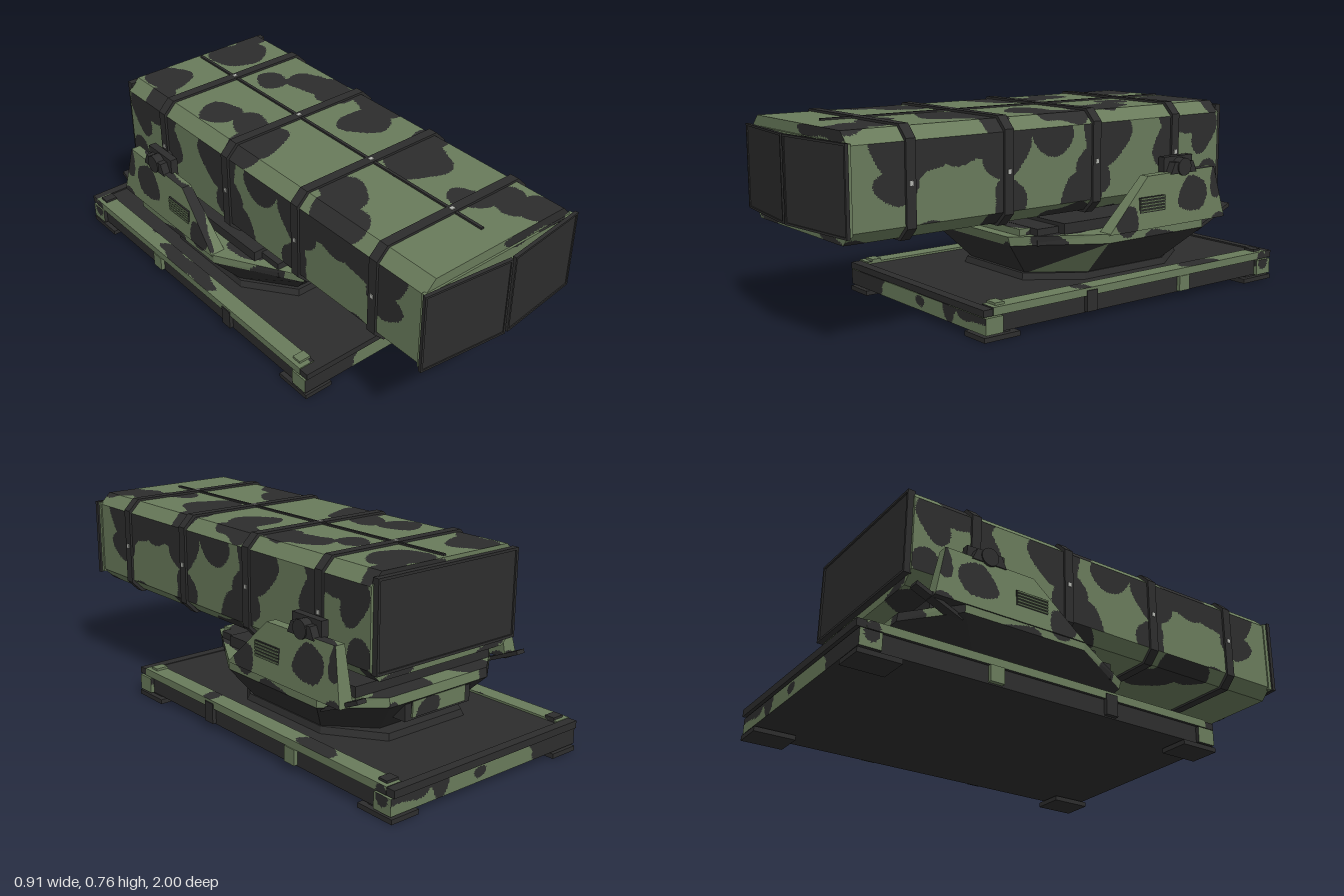
import * as THREE from 'three';

const green = new THREE.MeshStandardMaterial({ color: 0x697b5b });
green.name = 'camouflage green';
const black = new THREE.MeshStandardMaterial({ color: 0x2d2d2d });
black.name = 'camouflage black';
const pale = new THREE.MeshStandardMaterial({ color: 0xb4b6b0 });
pale.name = 'latch grey';

// Dark camouflage blobs as ellipses [u, v, ru, rv], one list per projection
const planBlobs = [ // x, z
  [-.21, -.68, .09, .1], [-.31, -.6, .08, .06], [.13, -.67, .12, .1], [.27, -.74, .09, .05],
  [.1, -.4, .06, .07], [.2, -.29, .07, .1], [.23, -.17, .08, .1], [.17, .08, .1, .09], [.28, .02, .06, .13],
  [-.21, -.32, .08, .08], [-.17, -.18, .07, .08], [-.24, -.06, .13, .1], [-.21, .4, .09, .11],
  [-.31, .48, .08, .13], [.13, .41, .13, .12], [.27, .34, .1, .07], [.1, .7, .06, .08],
  [.19, .79, .07, .09], [.24, .9, .08, .08], [-.42, -.3, .04, .2], [.42, .02, .05, .03], [.42, -.6, .05, .1],
];
const sideBlobs = [ // z, y
  [.7, .68, .17, .1], [.75, .56, .09, .06], [.5, .7, .16, .09], [.32, .66, .11, .12], [.3, .45, .07, .1],
  [.62, .38, .1, .04], [.11, .69, .1, .09], [-.16, .67, .12, .12], [-.03, .44, .1, .09], [-.1, .53, .08, .09],
  [-.55, .7, .12, .07], [-.47, .6, .06, .09], [-.68, .66, .07, .11], [-.7, .45, .06, .07],
  [-.36, .23, .1, .06], [-.55, .4, .08, .07], [-.2, .34, .06, .06], [.1, .27, .06, .05], [-.68, .24, .06, .08],
  [-.94, .08, .03, .04],
];
const faceBlobs = [ // x, y
  [.17, .74, .17, .03], [-.24, .385, .07, .02], [.22, .38, .08, .02], [-.25, .2, .07, .16], [.06, .22, .055, .05],
  [.24, .15, .05, .13], [-.35, .05, .14, .06], [.4, .09, .11, .04], [.055, .07, .03, .02], [-.4, .27, .04, .06],
];

function isDark(p, n) {
  if (n.y < -0.6 && p.y < 0.3) return true;
  const [list, u, v] = Math.abs(n.y) > 0.6 ? [planBlobs, p.x, p.z]
    : Math.abs(n.x) > Math.abs(n.z) ? [sideBlobs, p.z, p.y] : [faceBlobs, p.x, p.y];
  const a = u + 0.012 * Math.sin(v * 31), b = v + 0.01 * Math.sin(u * 27);
  return list.some(([cu, cv, ru, rv]) => ((a - cu) / ru) ** 2 + ((b - cv) / rv) ** 2 < 1);
}

// Splits triangles along blob edges and sorts them into two colour groups
function camo(geometry, name) {
  const src = geometry.index ? geometry.toNonIndexed() : geometry;
  const pos = src.attributes.position, out = [[], []];
  const split = (a, b, c, n) => {
    const d = [a.distanceTo(b), b.distanceTo(c), c.distanceTo(a)];
    const longest = Math.max(...d);
    const mid = a.clone().add(b).add(c).divideScalar(3);
    const dark = isDark(mid, n);
    const mixed = [a, b, c].some((p) => isDark(p, n) !== dark);
    if (longest > 0.07 || (mixed && longest > 0.013)) {
      while (d[0] < longest) { [a, b, c] = [b, c, a]; d.push(d.shift()); }
      const m = a.clone().lerp(b, 0.5);
      split(a, m, c, n);
      split(m, b, c, n);
    } else out[dark ? 1 : 0].push(...a.toArray(), ...b.toArray(), ...c.toArray());
  };
  for (let i = 0; i < pos.count; i += 3) {
    const t = [0, 1, 2].map((k) => new THREE.Vector3().fromBufferAttribute(pos, i + k));
    const n = t[1].clone().sub(t[0]).cross(t[2].clone().sub(t[0])).normalize();
    if (n.lengthSq() > 0.5) split(...t, n);
  }
  const geo = new THREE.BufferGeometry();
  geo.setAttribute('position', new THREE.Float32BufferAttribute(out[0].concat(out[1]), 3));
  geo.addGroup(0, out[0].length / 3, 0);
  geo.addGroup(out[0].length / 3, out[1].length / 3, 1);
  geo.computeVertexNormals();
  const mesh = new THREE.Mesh(geo, [green, black]);
  mesh.name = name;
  return mesh;
}

function solid(geometry, material, name) {
  const mesh = new THREE.Mesh(geometry, material);
  mesh.name = name;
  return mesh;
}

// Box given by its limits on each axis
const box = (x0, x1, y0, y1, z0, z1) =>
  new THREE.BoxGeometry(Math.abs(x1 - x0), y1 - y0, z1 - z0).translate((x0 + x1) / 2, (y0 + y1) / 2, (z0 + z1) / 2);

// Chamfered canister section, grown by g, running from z0 to z1
function canisterSlice(g, z0, z1) {
  const w = 0.345 + g, t = 0.75 + g, b = 0.375 - g, c = 0.045;
  const shape = new THREE.Shape([[-w + c, b], [w - c, b], [w, b + c], [w, t - c], [w - c, t], [-w + c, t], [-w, t - c], [-w, b + c]]
    .map(([x, y]) => new THREE.Vector2(x, y)));
  return new THREE.ExtrudeGeometry(shape, { depth: z1 - z0, bevelEnabled: false }).translate(0, 0, z0);
}

// Profile of [z, y] points extruded between two x positions
function sideExtrude(points, xa, xb) {
  const shape = new THREE.Shape(points.map(([z, y]) => new THREE.Vector2(-z, y)));
  return new THREE.ExtrudeGeometry(shape, { depth: Math.abs(xb - xa), bevelEnabled: false })
    .rotateY(Math.PI / 2).translate(Math.min(xa, xb), 0, 0);
}

// Eight-sided plan rings stacked upwards, with caps
function octagonLoft(levels) {
  const v = [], idx = [], top = (levels.length - 1) * 8;
  for (const { y, w, f, zf, zc, zd, zb } of levels) {
    for (const [x, z] of [[-f, zf], [f, zf], [w, zc], [w, zd], [f, zb], [-f, zb], [-w, zd], [-w, zc]]) v.push(x, y, z);
  }
  for (let j = 0; j < top; j += 8) for (let i = 0; i < 8; i++) {
    const k = (i + 1) % 8;
    idx.push(j + i, j + k, j + 8 + k, j + i, j + 8 + k, j + 8 + i);
  }
  for (let i = 1; i < 7; i++) idx.push(top, top + i, top + i + 1, 0, i + 1, i);
  const geo = new THREE.BufferGeometry();
  geo.setAttribute('position', new THREE.Float32BufferAttribute(v, 3));
  geo.setIndex(idx);
  return geo;
}

export function createModel() {
  const model = new THREE.Group();
  model.name = 'launcher';

  // Base platform
  const base = new THREE.Group();
  base.name = 'base';
  base.add(solid(box(-.44, .44, .025, .09, -.92, .42), black, 'chassis'));
  base.add(camo(box(-.455, .455, .025, .086, .41, .485), 'frontBeam'));
  base.add(camo(box(-.455, .455, .025, .086, -.99, -.91), 'rearBeam'));
  base.add(solid(box(-.4, .4, .08, .112, -.97, .46), black, 'deck'));
  base.add(solid(box(-.45, .45, .09, .115, .45, .49), black, 'frontSill'));
  base.add(solid(box(-.45, .45, .09, .118, -1, -.965), black, 'rearSill'));
  for (const s of [-1, 1]) {
    base.add(camo(box(s * .385, s * .452, .09, .12, -.965, .45), 'sideRail'));
    base.add(solid(box(s * .43, s * .456, .03, .09, -.51, -.455), green, 'sideBlock'));
    base.add(solid(box(s * .43, s * .456, .03, .11, -.025, .025), black, 'sideBlock'));
    for (const [z0, z1] of [[.335, .49], [-.995, -.835]]) base.add(solid(box(s * .335, s * .455, 0, .018, z0, z1), black, 'foot'));
    for (const [z0, z1] of [[.335, .49], [-.995, -.835]]) base.add(solid(box(s * .36, s * .435, .015, .03, z0 + .03, z1 - .03), black, 'footMount'));
    for (const z of [.41, -.93]) base.add(solid(box(s * .385, s * .435, .115, .129, z - .02, z + .02), z > 0 ? green : black, 'tieDown'));
  }
  model.add(base);

  // Turntable and turret
  const turret = new THREE.Group();
  turret.name = 'turret';
  turret.add(solid(octagonLoft([
    { y: .105, w: .33, f: .19, zf: .12, zc: -.07, zd: -.5, zb: -.7 },
    { y: .136, w: .32, f: .18, zf: .11, zc: -.08, zd: -.49, zb: -.69 }]).toNonIndexed(), black, 'turntable'));
  turret.children[0].geometry.computeVertexNormals();
  turret.add(camo(octagonLoft([
    { y: .13, w: .31, f: .17, zf: .09, zc: -.1, zd: -.48, zb: -.63 },
    { y: .265, w: .43, f: .24, zf: .215, zc: -.1, zd: -.6, zb: -.755 },
    { y: .3, w: .43, f: .24, zf: .225, zc: -.1, zd: -.6, zb: -.75 }]), 'turretBody'));
  turret.add(solid(box(-.33, .33, .29, .34, -.68, .03), black, 'topPlate'));
  turret.add(solid(box(-.295, .295, .262, .326, .03, .13), black, 'frontHousing'));
  turret.add(camo(box(-.25, .25, .29, .325, .12, .18), 'frontBar'));
  turret.add(solid(box(-.035, .035, .32, .372, .08, .16), black, 'canisterRest'));
  turret.add(solid(box(-.16, .16, .19, .27, -.745, -.65), black, 'rearFrame'));
  turret.add(camo(box(-.13, .13, .2, .26, -.752, -.74), 'rearPanel'));

  // Side cheeks, grilles, trunnions and rear levers
  for (const s of [-1, 1]) {
    const cheek = sideExtrude([[-.1, .295], [-.31, .495], [-.675, .5], [-.72, .295]], s * .375, s * .435);
    const p = cheek.attributes.position;
    for (let i = 0; i < p.count; i++) if (Math.abs(p.getX(i)) > .4) p.setX(i, s * (.435 - (p.getY(i) - .295) * .1));
    turret.add(camo(cheek, 'cheek'));
    turret.add(solid(box(s * .42, s * .429, .358, .418, -.392, -.258), black, 'grillePlate'));
    for (let i = 0; i < 5; i++) turret.add(solid(box(s * .42, s * .433, .361 + i * .012, .367 + i * .012, -.39, -.26), green, 'grilleSlat'));
    turret.add(solid(sideExtrude([[-.42, .48], [-.42, .555], [-.575, .555], [-.575, .48]], s * .36, s * .39), black, 'trunnionBlock'));
    turret.add(solid(sideExtrude([[-.43, .49], [-.45, .535], [-.55, .535], [-.57, .49]], s * .38, s * .42), black, 'trunnionCap'));
    const pin = solid(new THREE.CylinderGeometry(.035, .035, .08, 20).rotateZ(Math.PI / 2), black, 'trunnionPin');
    pin.position.set(s * .385, .515, -.5);
    turret.add(pin);
    turret.add(solid(sideExtrude([[-.595, .245], [-.595, .26], [-.775, .34], [-.78, .325]], s * .37, s * .41), black, 'rearLever'));
  }
  model.add(turret);

  // Canister with bands, seam and latches
  const canister = new THREE.Group();
  canister.name = 'canister';
  canister.add(camo(canisterSlice(0, -.765, .94), 'canisterBody'));
  for (const z of [.71, .305, -.105, -.515]) {
    canister.add(solid(canisterSlice(.009, z - .019, z + .019), black, 'band'));
    canister.add(solid(box(-.009, .009, .755, .762, z - .008, z + .008), pale, 'topLatch'));
    for (const s of [-1, 1]) canister.add(solid(box(s * .35, s * .357, .557, .573, z - .007, z + .007), pale, 'sideLatch'));
  }
  canister.add(solid(box(-.006, .006, .745, .757, -.75, .85), black, 'topSeam'));
  canister.add(solid(box(-.335, .335, .405, .735, -.782, -.76), black, 'rearCover'));
  for (const y of [.405, .725]) canister.add(solid(box(-.335, .335, y, y + .01, -.788, -.78), black, 'rearRim'));
  for (const s of [-1, 1]) canister.add(solid(box(s * .325, s * .335, .405, .735, -.788, -.78), black, 'rearRim'));

  // Hinged front doors meeting in a shallow point
  canister.add(camo(box(-.35, .35, .41, .712, .93, .948), 'doorFrame'));
  for (const s of [-1, 1]) {
    const door = new THREE.Group();
    door.name = 'frontDoor';
    door.add(solid(box(-.175, .175, .41, .712, -.004, .004), black, 'doorPanel'));
    for (const y of [.406, .708]) door.add(solid(box(-.178, .178, y, y + .008, -.006, .008), black, 'doorRim'));
    for (const x of [-.178, .17]) door.add(solid(box(x, x + .008, .406, .716, -.006, .008), black, 'doorRim'));
    door.position.set(s * .182, 0, .97);
    door.rotation.y = s * Math.atan(.04 / .355);
    canister.add(door);
  }
  model.add(canister);
  return model;
}
